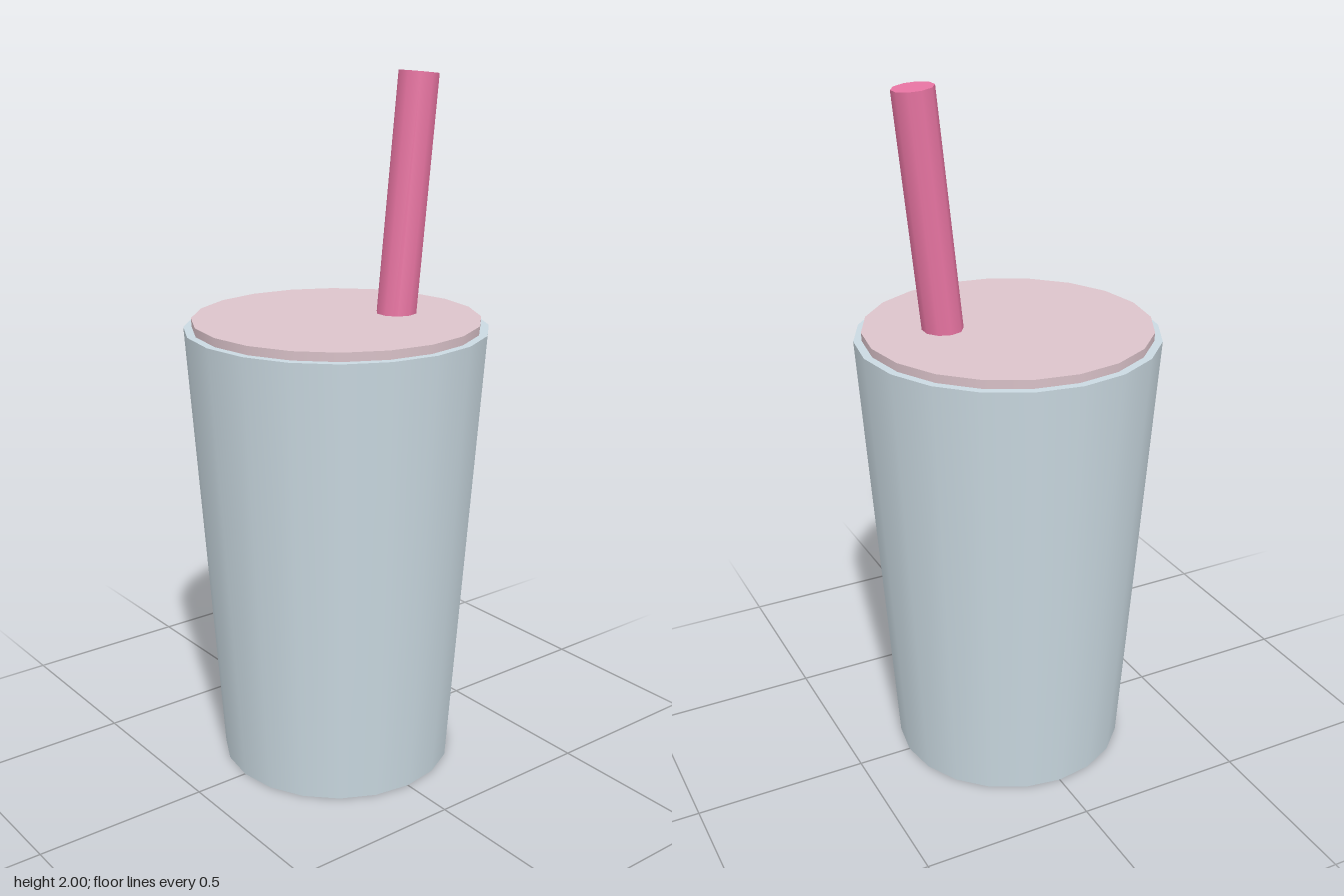
import * as THREE from 'three';

export function createModel() {
  const model = new THREE.Group();
  const mat = (name, color) => Object.assign(new THREE.MeshStandardMaterial({ color }), { name });
  const glass = mat('pale blue cup', 0xcad9e1);
  const drink = mat('pale pink drink', 0xdcc4cb);
  const pink = mat('pink straw', 0xe975a3);

  const add = (name, geometry, material) => {
    const mesh = new THREE.Mesh(geometry, material);
    mesh.name = name;
    model.add(mesh);
    return mesh;
  };

  // Tapered, smooth-sided cup standing on the ground
  add('cup', new THREE.CylinderGeometry(0.43, 0.34, 1.305, 20).translate(0, 0.6525, 0), glass);

  // Drink filling the cup and rising just above its rim
  add('drink', new THREE.CylinderGeometry(0.408, 0.325, 1.31, 20).translate(0, 0.675, 0), drink);

  // Straw leaning towards the back, hung from the centre of its top end
  const straw = add('straw',
    new THREE.CylinderGeometry(0.058, 0.058, 1.8, 10).rotateY(Math.PI / 2).translate(0, -0.9, 0), pink);
  straw.position.set(0.053, 1.994, -0.245);
  straw.rotation.x = -0.105;

  return model;
}
